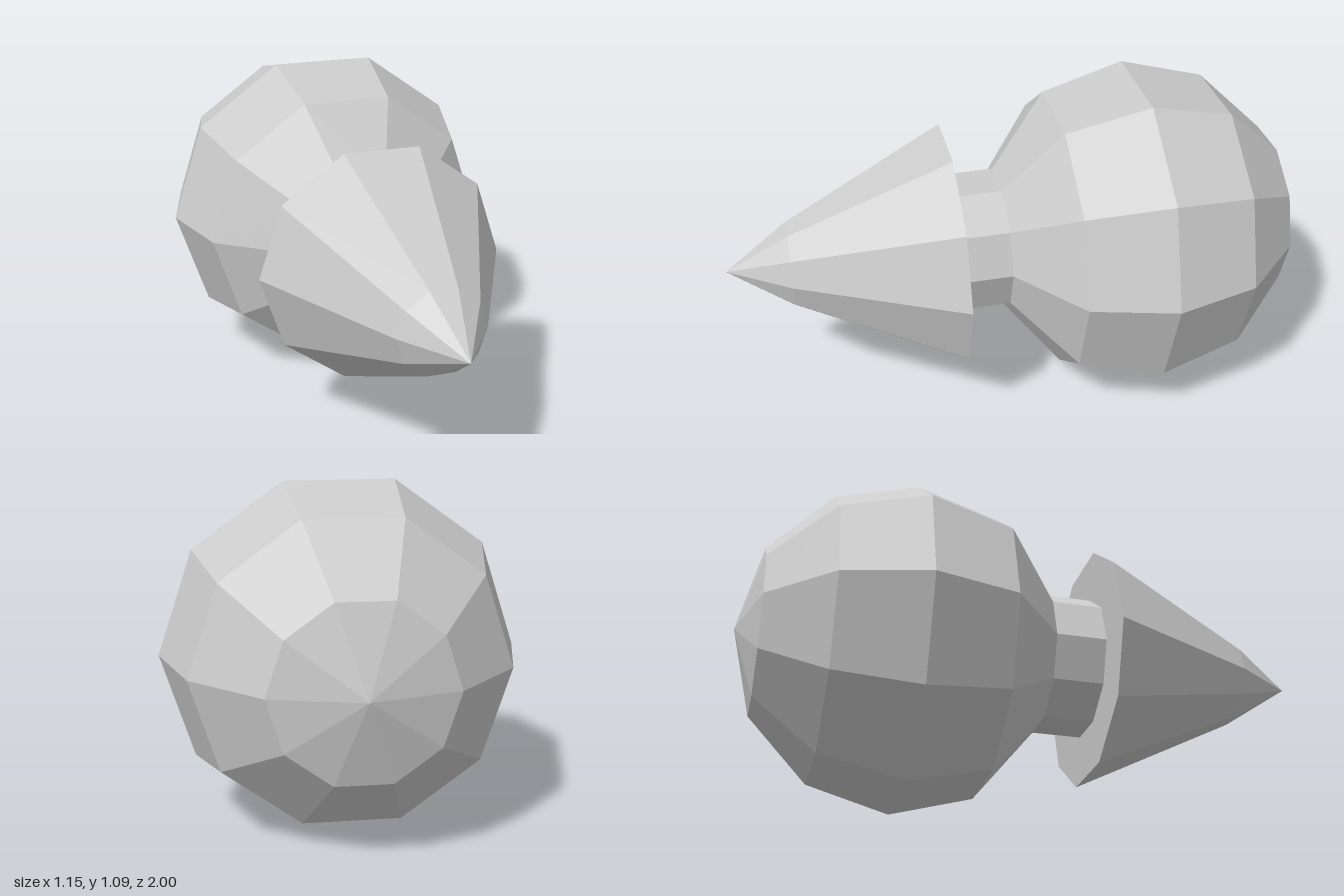
import * as THREE from 'three';

const SIDES = 10;
const AXIS_HEIGHT = 0.545;

// Faceted solid of revolution about the z axis; profile is [radius, z] from back to front
function turnedPart(name, profile, material) {
  const points = profile.map(([r, z]) => new THREE.Vector2(r, z));
  const geometry = new THREE.LatheGeometry(points, SIDES, Math.PI / 2);
  geometry.rotateX(Math.PI / 2);
  const mesh = new THREE.Mesh(geometry, material);
  mesh.name = name;
  mesh.position.y = AXIS_HEIGHT;
  return mesh;
}

export function createModel() {
  const group = new THREE.Group();
  group.name = 'pointedKnob';
  const material = new THREE.MeshStandardMaterial({ color: 0xcccccc, flatShading: true });

  // Round handle at the back
  group.add(turnedPart('ball', [
    [0, -1], [0.287, -0.925], [0.496, -0.713], [0.573, -0.425], [0.496, -0.138], [0.247, 0.057],
  ], material));

  // Narrow collar between ball and point
  group.add(turnedPart('neck', [[0.247, 0.057], [0.247, 0.232]], material));

  // Cone with a flat back and a blunter tip
  group.add(turnedPart('point', [
    [0.247, 0.232], [0.424, 0.232], [0.148, 0.785], [0, 1],
  ], material));

  return group;
}
